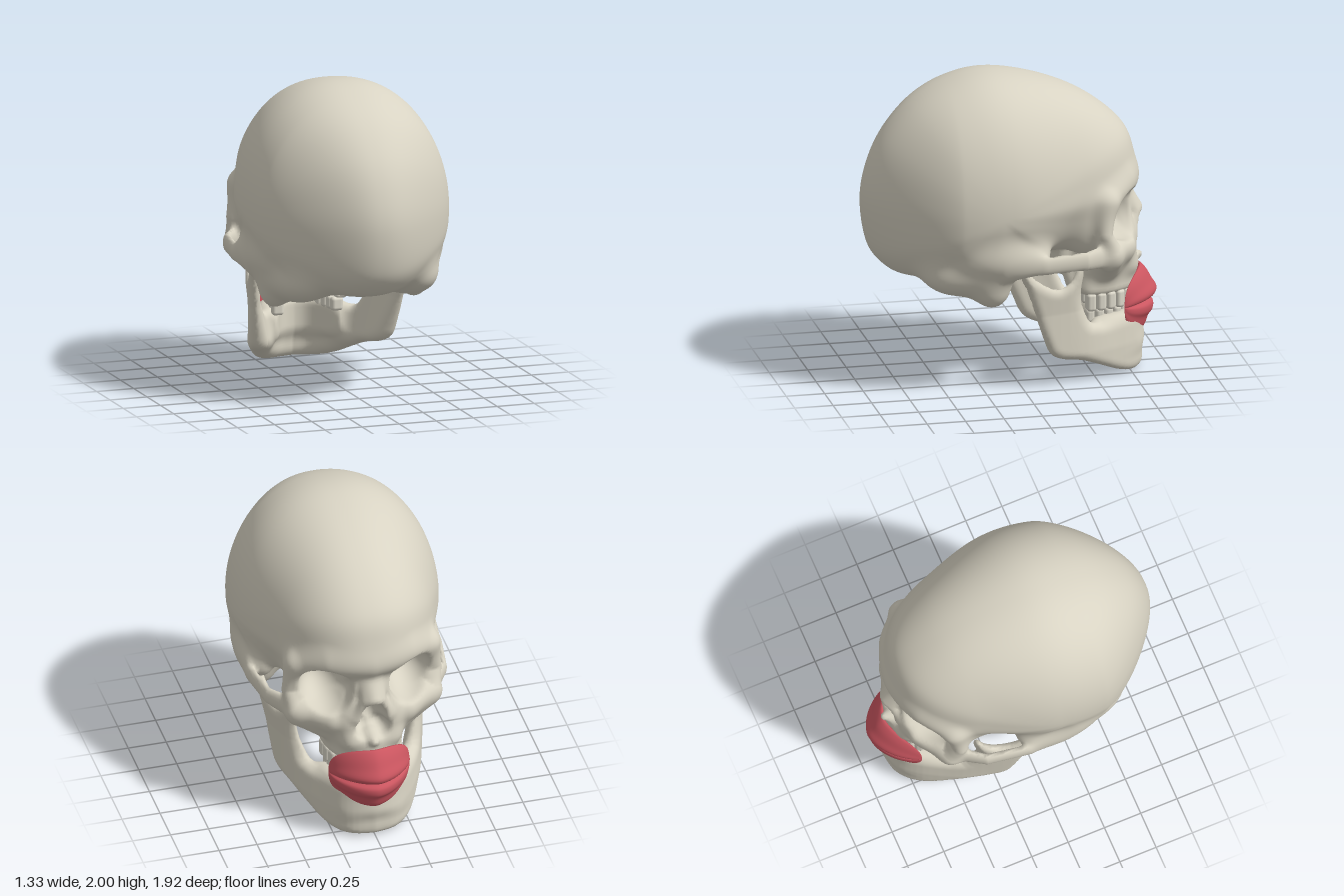
import * as THREE from 'three';
import { RoundedBoxGeometry } from 'three/addons/geometries/RoundedBoxGeometry.js';

const paint = (name, color) => Object.assign(new THREE.MeshStandardMaterial({ color }), { name });
const bone = paint('bone', 0xd8d3c3), enamel = paint('enamel', 0xdedacc), lipRed = paint('lip red', 0xcb5660);

// Rounded volumes: negative inside, positive outside
const { hypot, abs, min, max } = Math;
const { clamp, smoothstep } = THREE.MathUtils;
const join = (a, b, k) => min(a, b) - max(k - abs(a - b), 0) ** 2 / (4 * k);
const meet = (a, b, k) => -join(-a, -b, k);

function ellipsoid(cx, cy, cz, rx, ry, rz) {
  return (x, y, z) => {
    const a = (x - cx) / rx, b = (y - cy) / ry, c = (z - cz) / rz, k = hypot(a, b, c);
    return k * (k - 1) / (hypot(a / rx, b / ry, c / rz) + 1e-6);
  };
}

// Chain of tapered capsules through [x, y, z, radius]; tall > 1 stretches the section in y
function strut(points, tall = 1) {
  return (x, y, z) => {
    let d = 9;
    for (let i = 1; i < points.length; i++) {
      const a = points[i - 1], b = points[i];
      const ux = b[0] - a[0], uy = (b[1] - a[1]) / tall, uz = b[2] - a[2];
      const px = x - a[0], py = (y - a[1]) / tall, pz = z - a[2];
      const t = clamp((px * ux + py * uy + pz * uz) / (ux * ux + uy * uy + uz * uz), 0, 1);
      d = min(d, hypot(px - t * ux, py - t * uy, pz - t * uz) - a[3] - t * (b[3] - a[3]));
    }
    return d;
  };
}

const spline = (points, closed, count) => new THREE.CatmullRomCurve3(
  points.map(([a, b]) => new THREE.Vector3(a, b, 0)), closed).getPoints(count).map((p) => [p.x, p.y]);

// Distance to a 2D polyline; closed ones are signed
function outline(points, closed) {
  return (u, v) => {
    let d = 9, inside = false;
    for (let i = 1; i < points.length; i++) {
      const a = points[i - 1], b = points[i];
      const eu = b[0] - a[0], ev = b[1] - a[1], pu = u - a[0], pv = v - a[1];
      const t = clamp((pu * eu + pv * ev) / (eu * eu + ev * ev), 0, 1);
      d = min(d, hypot(pu - t * eu, pv - t * ev));
      if ((a[1] > v) !== (b[1] > v) && pu < eu * pv / ev) inside = !inside;
    }
    return closed && inside ? -d : d;
  };
}

// Skins a volume with one vertex per surface cell and smooth normals
function sculpt(field, lo, hi, cell) {
  const n = lo.map((v, i) => Math.ceil((hi[i] - v) / cell) + 1), step = [1, n[0], n[0] * n[1]];
  const val = new Float32Array(n[0] * n[1] * n[2]), id = new Int32Array(val.length), pos = [], nor = [], idx = [];
  const each = (from, trim, fn) => {
    for (let k = from; k < n[2] - trim; k++)
      for (let j = from; j < n[1] - trim; j++)
        for (let i = from; i < n[0] - trim; i++) fn(i + j * step[1] + k * step[2], [i, j, k]);
  };
  each(0, 0, (c, g) => { val[c] = field(...g.map((v, d) => lo[d] + v * cell)); });
  const gradient = (p) => [0, 1, 2].map((d) => {
    const shifted = (e) => field(...p.map((v, i) => (i === d ? v + e : v)));
    return (shifted(cell / 2) - shifted(-cell / 2)) / cell;
  });
  const offset = (q) => (q & 1) + (q >> 1 & 1) * step[1] + (q >> 2) * step[2];
  each(0, 1, (c, g) => {
    const s = [0, 0, 0];
    let m = 0;
    for (let q = 0; q < 8; q++) for (let a = 0; a < 3; a++) {
      if (q >> a & 1) continue;
      const v0 = val[c + offset(q)], v1 = val[c + offset(q | 1 << a)];
      if ((v0 < 0) === (v1 < 0)) continue;
      m++;
      for (let d = 0; d < 3; d++) s[d] += (q >> d & 1) + (d === a ? v0 / (v0 - v1) : 0);
    }
    if (!m) return;
    id[c] = pos.length / 3;
    let p = g.map((v, d) => lo[d] + (v + s[d] / m) * cell), slope = gradient(p);
    const steep = hypot(...slope) || 1, move = clamp(field(...p) / steep, -cell / 3, cell / 3);
    p = p.map((v, d) => v - move * slope[d] / steep);
    slope = gradient(p);
    pos.push(...p);
    nor.push(...slope.map((v) => v / (hypot(...slope) || 1)));
  });
  each(1, 1, (c) => step.forEach((sa, a) => {
    if ((val[c] < 0) === (val[c + sa] < 0)) return;
    const sb = step[(a + 1) % 3], sd = step[(a + 2) % 3];
    const q = [c, c - sb, c - sb - sd, c - sd].map((v) => id[v]);
    if (val[c] >= 0) q.reverse();
    idx.push(q[0], q[1], q[2], q[0], q[2], q[3]);
  }));
  const geo = new THREE.BufferGeometry();
  geo.setAttribute('position', new THREE.Float32BufferAttribute(pos, 3));
  geo.setAttribute('normal', new THREE.Float32BufferAttribute(nor, 3));
  return geo.setIndex(idx);
}

// Braincase: side silhouette [z, y] puffed out to a width that tapers to the back and temples
function braincase() {
  const side = [[-0.815, 1.25], [-0.795, 1.45], [-0.735, 1.6], [-0.5, 1.805], [-0.2, 1.94], [0.15, 2],
    [0.4, 1.95], [0.63, 1.825], [0.82, 1.62], [0.92, 1.41], [0.96, 1.18], [0.91, 0.88], [0.83, 0.775],
    [0.74, 0.72], [0.42, 0.68], [0.25, 0.68], [-0.1, 0.82], [-0.35, 0.85], [-0.62, 1.05]];
  const cy = 1.2, cz = 0.17, bins = 360, bin = 2 * Math.PI / bins, radius = [];
  const polar = spline(side, true, 1500).map(([z, y]) => [Math.atan2(y - cy, cz - z), hypot(y - cy, cz - z)]);
  for (let i = 1; i < polar.length; i++) {
    const [a, r] = polar[i - 1], [b0, q] = polar[i], b = b0 < a - Math.PI ? b0 + 2 * Math.PI : b0;
    for (let s = Math.ceil(a / bin); s * bin <= b; s++)
      radius[(s + bins) % bins] = r + (q - r) * (s * bin - a) / (b - a || 1);
  }
  return (x, y, z) => {
    const s = (Math.atan2(y - cy, cz - z) / bin + bins) % bins, i = Math.floor(s);
    const R = radius[i] + (radius[(i + 1) % bins] - radius[i]) * (s - i);
    const W = 0.665 * (1 - 0.3 * clamp((z - 0.42) / 0.5, 0, 1.2) ** 1.5 - 0.07 * smoothstep(-z, -0.1, 0.4));
    const rho = hypot(y - cy, z - cz), k = hypot((x / W) ** 1.1, rho / R);
    return k * (k - 1) / (hypot(x / W / W, rho / R / R) + 1e-6);
  };
}

function skullField() {
  const dome = braincase();
  const headParts = [ // [volume, blend]
    [strut([[0, 1.25, -0.74, 0.05], [0.25, 1.275, -0.675, 0.05], [0.43, 1.21, -0.56, 0.045]]), 0.12], // brow
    [ellipsoid(0.33, 1.08, -0.43, 0.14, 0.24, 0.18), 0.1], // temple wall
    [ellipsoid(0.53, 0.91, 0.13, 0.125, 0.14, 0.28), 0.1], // ear ridge
    [ellipsoid(0.47, 0.73, 0.21, 0.1, 0.155, 0.12), 0.1], // mastoid
    [ellipsoid(0.37, 0.78, 0.38, 0.18, 0.14, 0.25), 0.12], // rear base
  ];
  const faceParts = [
    [ellipsoid(0, 1.03, -0.58, 0.13, 0.22, 0.17), 0.04], // wall between the sockets
    [ellipsoid(0, 0.82, -0.58, 0.36, 0.2, 0.22), 0.06], // maxilla
    [ellipsoid(0, 0.8, -0.4, 0.2, 0.18, 0.22), 0.06], // inner face
    [strut([[0.45, 1.2, -0.54, 0.04], [0.485, 1, -0.525, 0.04], [0.44, 0.87, -0.57, 0.07], [0.25, 0.85, -0.69, 0.065]]), 0.09], // cheekbone
    [strut([[0.42, 0.82, -0.56, 0.07], [0.28, 0.72, -0.58, 0.06]]), 0.08], // cheek buttress
    [strut([[0.09, 1.16, -0.71, 0.045], [0.14, 0.9, -0.735, 0.05], [0.14, 0.7, -0.745, 0.05]]), 0.05], // nose side
    [strut([[0.035, 1.17, -0.715, 0.05], [0.045, 1.01, -0.8, 0.04], [0.1, 0.88, -0.77, 0.04]]), 0.04], // nose wall
    [strut([[0, 1.17, -0.735, 0.045], [0, 1.03, -0.825, 0.04]]), 0.05], // nasal bone
    [strut([[0.14, 0.85, -0.3, 0.04], [0.17, 0.6, -0.37, 0.035]]), 0.05], // pterygoid
    [strut([[0.46, 0.86, -0.54, 0.035], [0.575, 0.87, -0.38, 0.027], [0.62, 0.87, -0.1, 0.026], [0.6, 0.87, 0.15, 0.03]], 2.2), 0.035], // cheek arch
  ];
  const cuts = [
    ellipsoid(0.285, 1.07, -0.73, 0.163, 0.165, 0.31), // eye socket
    ellipsoid(0, 0.86, -0.85, 0.085, 0.14, 0.2), // nose opening
    ellipsoid(0.045, 0.79, -0.83, 0.07, 0.065, 0.16), // lower nose opening
    ellipsoid(0, 0.51, -0.44, 0.16, 0.15, 0.26), // palate
    ellipsoid(0, 0.67, 0.38, 0.11, 0.09, 0.14), // spinal opening
  ];
  const spine = strut([[0, 0.71, -0.74, 0.04], [0, 0.71, -0.845, 0.02]]);
  return (x0, y, z) => {
    const x = abs(x0);
    let d = dome(x, y, z);
    for (const [part, k] of headParts) d = join(d, part(x, y, z), k);
    for (const [part, k] of faceParts) d = join(d, part(x, y, z), k);
    // gum ridge above the upper teeth
    const ridge = (hypot(x / 0.265, (z + 0.47) / 0.36) - 1) * 0.28;
    d = join(d, meet(meet(ridge, abs(y - 0.62) - 0.095, 0.05), z + 0.39, 0.1), 0.08);
    for (const cut of cuts) d = meet(d, -cut(x, y, z), 0.025);
    return join(d, spine(x, y, z), 0.04);
  };
}

// Jaw: side outline [z, y] crossed with a curved wall seen from above [x, z]
function jawField() {
  const side = outline(spline([[0.05, 0.8], [0.01, 0.84], [-0.07, 0.75], [-0.22, 0.665], [-0.3, 0.7], [-0.355, 0.79],
    [-0.385, 0.81], [-0.405, 0.76], [-0.385, 0.6], [-0.41, 0.48], [-0.47, 0.38], [-0.8, 0.36], [-0.825, 0.26],
    [-0.875, 0.08], [-0.86, 0.02], [-0.8, 0], [-0.7, 0.015], [-0.4, 0.145], [-0.25, 0.18], [-0.18, 0.22],
    [-0.13, 0.32], [0, 0.68]], true, 88), true);
  const wall = outline(spline([[0.49, 0.06], [0.45, -0.16], [0.37, -0.4], [0.285, -0.56], [0.205, -0.69],
    [0.11, -0.775], [0, -0.81]], false, 24), false);
  return (x0, y, z) => {
    const x = abs(x0), spread = 0.12 * (y - 0.35) * clamp((z + 0.6) / 0.3, 0, 1);
    const thick = 0.036 + 0.03 * clamp((0.5 - y) / 0.3, 0, 1);
    const plate = meet(wall(x - spread, z) - thick, side(z, y), 0.07);
    const ring = abs(hypot(x / 0.215, (z + 0.45) / 0.34) - 1) * 0.25 - 0.045;
    return join(plate, meet(meet(ring, abs(y - 0.28) - 0.095, 0.05), z + 0.45, 0.14), 0.1);
  };
}

// Row of teeth along a half ellipse
function teeth(name, rx, rz, y, height) {
  const row = Object.assign(new THREE.Group(), { name }), count = 14;
  const arch = new THREE.EllipseCurve(0, -0.45, rx, rz, Math.PI, 2 * Math.PI);
  for (let i = 0; i < count; i++) {
    const t = (i + 0.5) / count, p = arch.getPointAt(t), dir = arch.getTangentAt(t), molar = abs(i - 6.5) > 3;
    const shape = new RoundedBoxGeometry(arch.getLength() / count * 0.93, height, molar ? 0.08 : 0.05, 3, 0.022);
    const tooth = new THREE.Mesh(shape, enamel);
    tooth.name = molar ? 'molar' : 'frontTooth';
    tooth.position.set(p.x, y, p.y);
    tooth.rotation.y = Math.atan2(-dir.y, dir.x);
    row.add(tooth);
  }
  return row;
}

// Lips: one pouting section [outward, height] swept around the mouth and shrunk to the corners
function lips() {
  const section = spline([[0, 0.215], [0.04, 0.18], [0.08, 0.11], [0.113, 0.05], [0.1, 0.015], [0.05, -0.005], [0.088, -0.035],
    [0.088, -0.085], [0.06, -0.125], [0.035, -0.19], [0, -0.215], [-0.02, -0.1], [-0.02, 0.1]], true, 52).slice(0, -1);
  const pos = [], idx = [], cols = 56, m = section.length;
  for (let i = 0; i <= cols; i++) {
    const u = Math.sin((i / cols - 0.5) * Math.PI), s = Math.sqrt(max(0, 1 - u * u));
    section.forEach(([o, h], j) => {
      const out = o * s ** 1.2;
      pos.push(0.265 * u + out * u * 0.3, 0.44 + h * s ** 0.75, -0.845 + 0.15 * abs(u) ** 1.6 - out);
      const a = i * m + j, b = i * m + (j + 1) % m;
      if (i < cols) idx.push(a, a + m, b, a + m, b + m, b);
    });
  }
  const geo = new THREE.BufferGeometry().setIndex(idx);
  geo.setAttribute('position', new THREE.Float32BufferAttribute(pos, 3));
  geo.computeVertexNormals();
  return geo;
}

export function createModel() {
  const model = Object.assign(new THREE.Group(), { name: 'skull' });
  const add = (name, geometry, material) => model.add(Object.assign(new THREE.Mesh(geometry, material), { name }));
  add('cranium', sculpt(skullField(), [-0.73, 0.45, -0.95], [0.73, 2.06, 1.03], 0.02), bone);
  add('jaw', sculpt(jawField(), [-0.65, -0.06, -0.95], [0.65, 0.92, 0.13], 0.018), bone);
  add('lips', lips(), lipRed);
  return model.add(teeth('upperTeeth', 0.225, 0.355, 0.485, 0.12), teeth('lowerTeeth', 0.2, 0.335, 0.39, 0.09));
}
